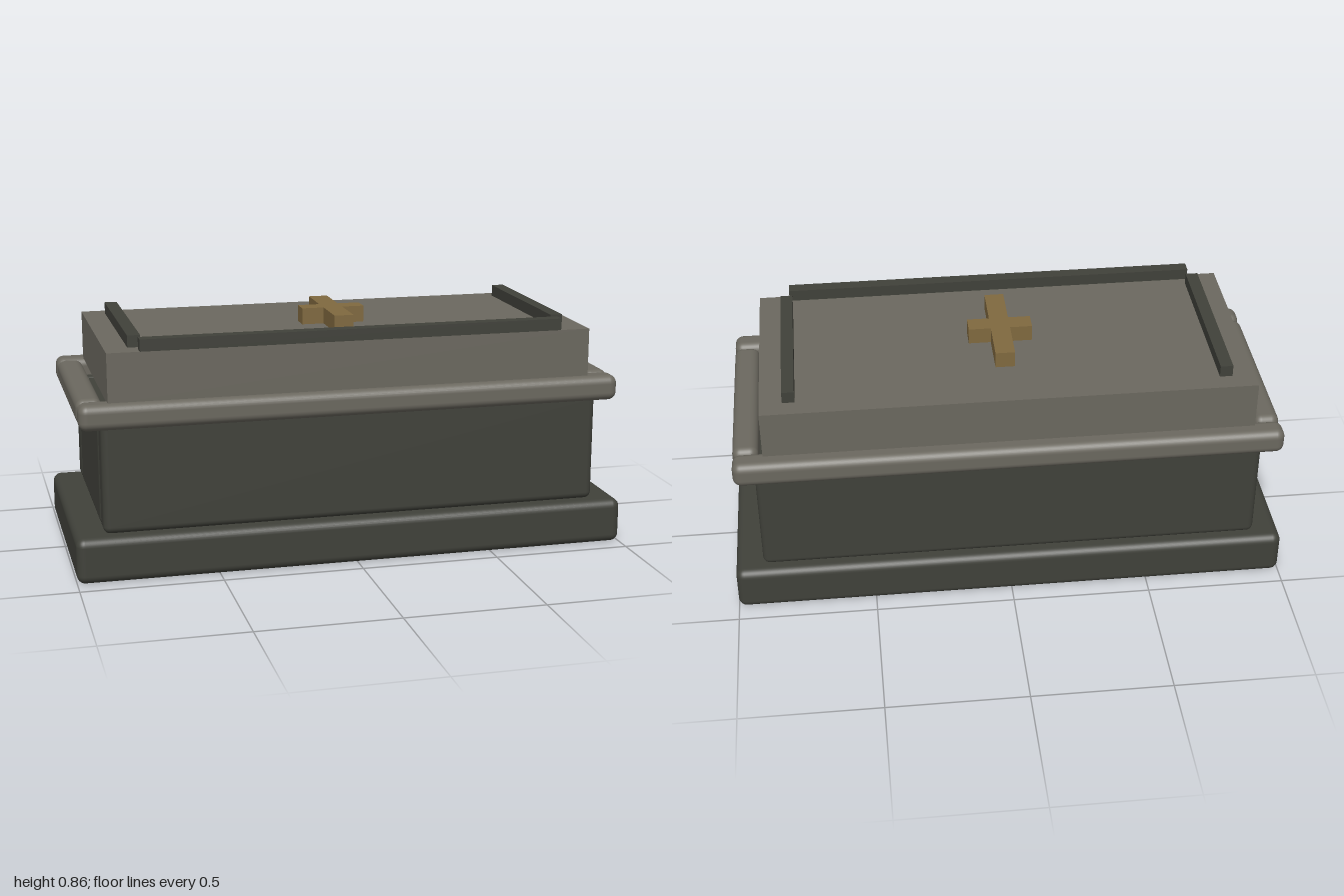
import * as THREE from 'three';
import { RoundedBoxGeometry } from 'three/addons/geometries/RoundedBoxGeometry.js';

const material = (name, color) => {
  const m = new THREE.MeshStandardMaterial({ color });
  m.name = name;
  return m;
};

export function createModel() {
  const model = new THREE.Group();
  model.name = 'stoneTomb';
  const darkStone = material('dark stone', 0x40413a);
  const paleStone = material('pale stone', 0x6b685f);
  const bronze = material('aged bronze', 0x80693f);

  // Box between two corners; rounded when a radius is given
  const block = (name, mat, [x0, x1], [y0, y1], [z0, z1], radius = 0) => {
    const size = [x1 - x0, y1 - y0, z1 - z0];
    const geometry = radius
      ? new RoundedBoxGeometry(...size, 4, radius)
      : new THREE.BoxGeometry(...size);
    const mesh = new THREE.Mesh(geometry, mat);
    mesh.name = name;
    mesh.position.set((x0 + x1) / 2, (y0 + y1) / 2, (z0 + z1) / 2);
    model.add(mesh);
  };
  // Range from a to b, mirrored through zero when s is -1
  const side = (s, a, b) => (s > 0 ? [a, b] : [-b, -a]);

  // Plinth
  block('plinth', darkStone, [-1, 1], [0, 0.163], [-0.442, 0.442], 0.03);

  for (const s of [1, -1]) {
    // Chest walls
    block(s > 0 ? 'frontWall' : 'backWall', darkStone,
      [-0.9, 0.9], [0.163, 0.565], side(s, 0.3, 0.402), 0.025);
    block(s > 0 ? 'leftWall' : 'rightWall', darkStone,
      side(s, 0.8, 0.9), [0.163, 0.565], [-0.3, 0.3], 0.025);

    // Rounded rim
    block(s > 0 ? 'frontRim' : 'backRim', paleStone,
      [-0.975, 0.975], [0.538, 0.63], side(s, 0.338, 0.43), 0.03);
    block(s > 0 ? 'leftRim' : 'rightRim', paleStone,
      side(s, 0.883, 0.975), [0.538, 0.63], [-0.337, 0.337], 0.03);
  }

  // Slightly displaced lid
  block('lid', paleStone, [-0.873, 0.867], [0.625, 0.803], [-0.373, 0.397]);

  // Raised strips on the lid
  block('frontStrip', darkStone, [-0.76, 0.755], [0.805, 0.847], [0.362, 0.407]);
  block('leftStrip', darkStone, [0.743, 0.787], [0.805, 0.847], [-0.308, 0.33]);
  block('rightStrip', darkStone, [-0.792, -0.747], [0.805, 0.847], [-0.308, 0.33]);

  // Cross, extruded from one outline and laid flat with its foot to the front
  const outline = [
    [-0.038, -0.233], [0.032, -0.233], [0.032, -0.07], [0.112, -0.07],
    [0.112, -0.002], [0.032, -0.002], [0.032, 0.163], [-0.038, 0.163],
    [-0.038, -0.002], [-0.118, -0.002], [-0.118, -0.07], [-0.038, -0.07],
  ].map(([x, y]) => new THREE.Vector2(x, y));
  const cross = new THREE.Mesh(
    new THREE.ExtrudeGeometry(new THREE.Shape(outline), { depth: 0.06, bevelEnabled: false }),
    bronze,
  );
  cross.name = 'cross';
  cross.rotation.x = -Math.PI / 2;
  cross.position.y = 0.802;
  model.add(cross);

  return model;
}
